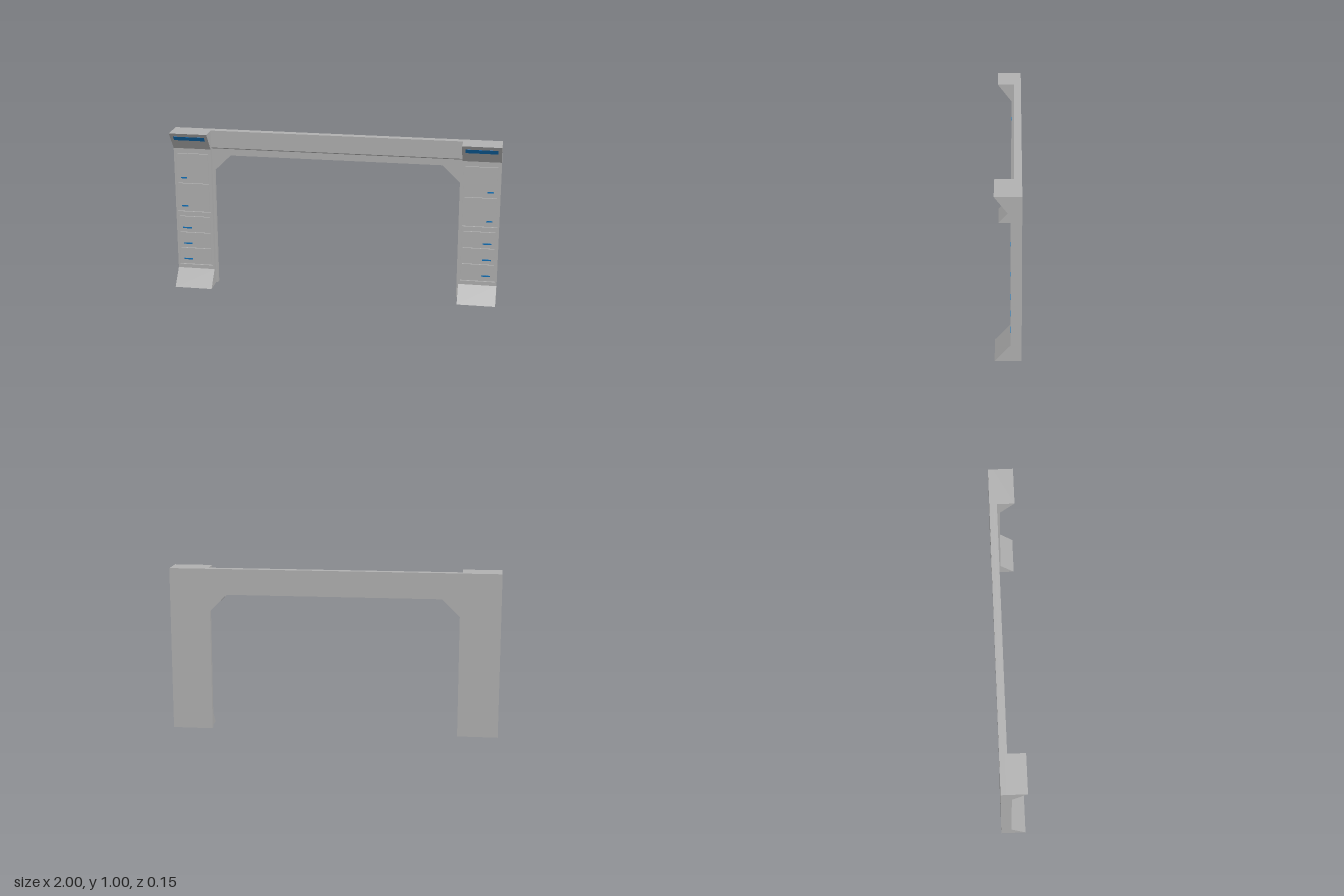
import * as THREE from 'three';

const BACK = -0.075, SLAB = -0.045, FACE = -0.013, FLOOR = -0.024;
const WIDTH = 0.233, CENTRE = 0.8835;

const polygon = (pts) => new THREE.Shape(pts.map(([x, y]) => new THREE.Vector2(x, y)));

// Extrudes an outline from z0 to z1
function extrude(shape, z0, z1) {
  const geo = new THREE.ExtrudeGeometry(shape, { depth: z1 - z0, bevelEnabled: false });
  return geo.translate(0, 0, z0);
}

// Extrudes a side profile of [z, y] points across x, centred on x = 0
function profileAcross(pts, width) {
  return extrude(polygon(pts), -width / 2, width / 2).rotateY(-Math.PI / 2);
}

const rect = (hw, y0, y1) => [[-hw, y0], [hw, y0], [hw, y1], [-hw, y1]];

export function createModel() {
  const group = new THREE.Group();
  const grey = new THREE.MeshStandardMaterial({ color: 0xb0b0b0 });
  grey.name = 'grey';
  const blue = new THREE.MeshStandardMaterial({ color: 0x1070b8 });
  blue.name = 'blue';

  const add = (parent, name, geo, mat) => {
    const mesh = new THREE.Mesh(geo, mat);
    mesh.name = name;
    parent.add(mesh);
    return mesh;
  };

  // Back slab with the chamfered doorway opening
  add(group, 'backFrame', extrude(polygon([
    [-1, 0], [-0.755, 0], [-0.755, 0.74], [-0.65, 0.843], [0.65, 0.843],
    [0.755, 0.74], [0.755, 0], [1, 0], [1, 1], [-1, 1],
  ]), BACK, SLAB), grey);

  // Thicker lintel with an undercut lower edge
  add(group, 'lintel', profileAcross([
    [SLAB, 0.884], [-0.03, 0.893], [-0.03, 1], [SLAB, 1],
  ], 2 * (CENTRE - WIDTH / 2)), grey);

  // Recess openings, then the doors and drawers that sit in them
  const recesses = [[0.476, 0.865], [0.124, 0.454]];
  const fronts = [
    { name: 'upperDoor', y0: 0.672, y1: 0.851, handleY: 0.696, handle: 0.038 },
    { name: 'lowerDoor', y0: 0.488, y1: 0.659, handleY: 0.513, handle: 0.038 },
    { name: 'topDrawer', y0: 0.348, y1: 0.443, handleY: 0.369, handle: 0.055 },
    { name: 'middleDrawer', y0: 0.244, y1: 0.337, handleY: 0.265, handle: 0.055 },
    { name: 'bottomDrawer', y0: 0.134, y1: 0.233, handleY: 0.161, handle: 0.055 },
  ];

  for (const side of [-1, 1]) {
    const pillar = new THREE.Group();
    pillar.name = side < 0 ? 'rightPillar' : 'leftPillar';
    pillar.position.x = side * CENTRE;
    group.add(pillar);

    // Core with flared foot and head
    add(pillar, 'pillarCore', profileAcross([
      [SLAB, 0], [0.075, 0], [FACE, 0.1], [FLOOR, 0.1],
      [FLOOR, 0.885], [FACE, 0.885], [0.075, 1], [SLAB, 1],
    ], WIDTH), grey);

    // Face plate with the recesses cut out
    const plate = polygon(rect(WIDTH / 2, 0.1, 0.885));
    for (const [y0, y1] of recesses) plate.holes.push(polygon(rect(0.106, y0, y1)));
    add(pillar, 'facePlate', extrude(plate, FLOOR, FACE), grey);

    // Doors, drawers and handles
    for (const f of fronts) {
      add(pillar, f.name, extrude(polygon(rect(0.096, f.y0, f.y1)), FLOOR, FACE - 0.001), grey);
      const handle = add(pillar, f.name + 'Handle', new THREE.BoxGeometry(f.handle, 0.008, 0.003), blue);
      handle.position.set(side * (0.077 - f.handle / 2), f.handleY, FACE);
    }

    // Light strip on the underside of the flared head
    const dz = 0.088, dy = 0.115, y = 0.963;
    const strip = add(pillar, 'headStrip', new THREE.BoxGeometry(0.192, 0.034, 0.002), blue);
    strip.position.set(0, y, FACE + dz * (y - 0.885) / dy);
    strip.rotation.x = Math.atan2(dz, dy);
  }
  return group;
}
